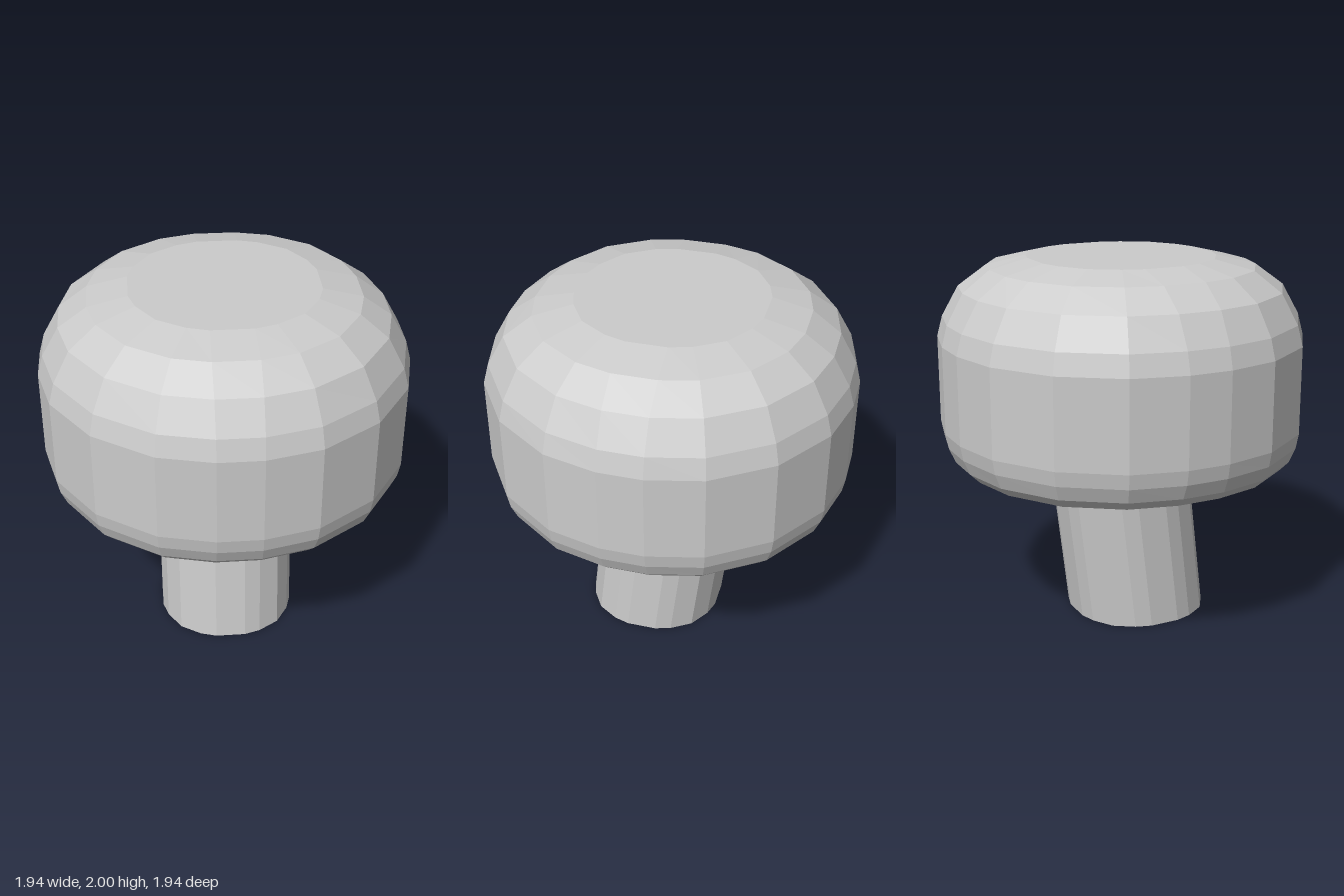
import * as THREE from 'three';

// Rounded cross-section of half-width h: 20 points with a short flat on each axis
function section([h, y, dz = 0]) {
  const a = Math.min(0.115, 0.22 * h);
  const b = h * (0.48 - 0.07 * h), c = h * 0.93;
  const d = h * (0.76 - 0.04 * h);
  const quarter = [[h, a], [c, b], [d, d], [b, c], [a, h]];
  const points = [];
  for (let q = 0; q < 4; q++) {
    for (const [u, v] of quarter) {
      const [x, z] = [[u, v], [-v, u], [-u, -v], [v, -u]][q];
      points.push(new THREE.Vector3(x, y, z + dz));
    }
  }
  return points;
}

// Skin a list of [halfWidth, y, zShift] sections, running from the top down
function loft(name, profile) {
  const positions = [];
  const tri = (...corners) => corners.forEach((p) => positions.push(p.x, p.y, p.z));
  for (let k = 0; k < profile.length - 1; k++) {
    const A = section(profile[k]), B = section(profile[k + 1]);
    for (let i = 0; i < A.length; i++) {
      const j = (i + 1) % A.length;
      if (profile[k][0] > 0) tri(A[i], A[j], B[i]);
      if (profile[k + 1][0] > 0) tri(A[j], B[j], B[i]);
    }
  }
  const geometry = new THREE.BufferGeometry();
  geometry.setAttribute('position', new THREE.Float32BufferAttribute(positions, 3));
  geometry.computeVertexNormals();
  const material = new THREE.MeshStandardMaterial({ color: 0xcccccc, flatShading: true });
  const mesh = new THREE.Mesh(geometry, material);
  mesh.name = name;
  return mesh;
}

export function createModel() {
  const model = new THREE.Group();
  model.name = 'knob';

  // Domed cap with rounded lower edge and a hollow rim underneath
  model.add(loft('cap', [
    [0, 2], [0.49, 2], [0.7, 1.95], [0.85, 1.84], [0.94, 1.68], [0.97, 1.57],
    [0.97, 1.1], [0.955, 1.02], [0.92, 0.94], [0.87, 0.89], [0.72, 0.97],
  ]));

  // Flared collar joining cap and stem
  model.add(loft('collar', [[0.72, 0.97], [0.49, 0.86], [0.37, 0.75]]));

  // Stem leaning forward towards its foot
  model.add(loft('stem', [[0.37, 0.75], [0.37, 0, 0.09], [0, 0, 0.09]]));

  return model;
}
